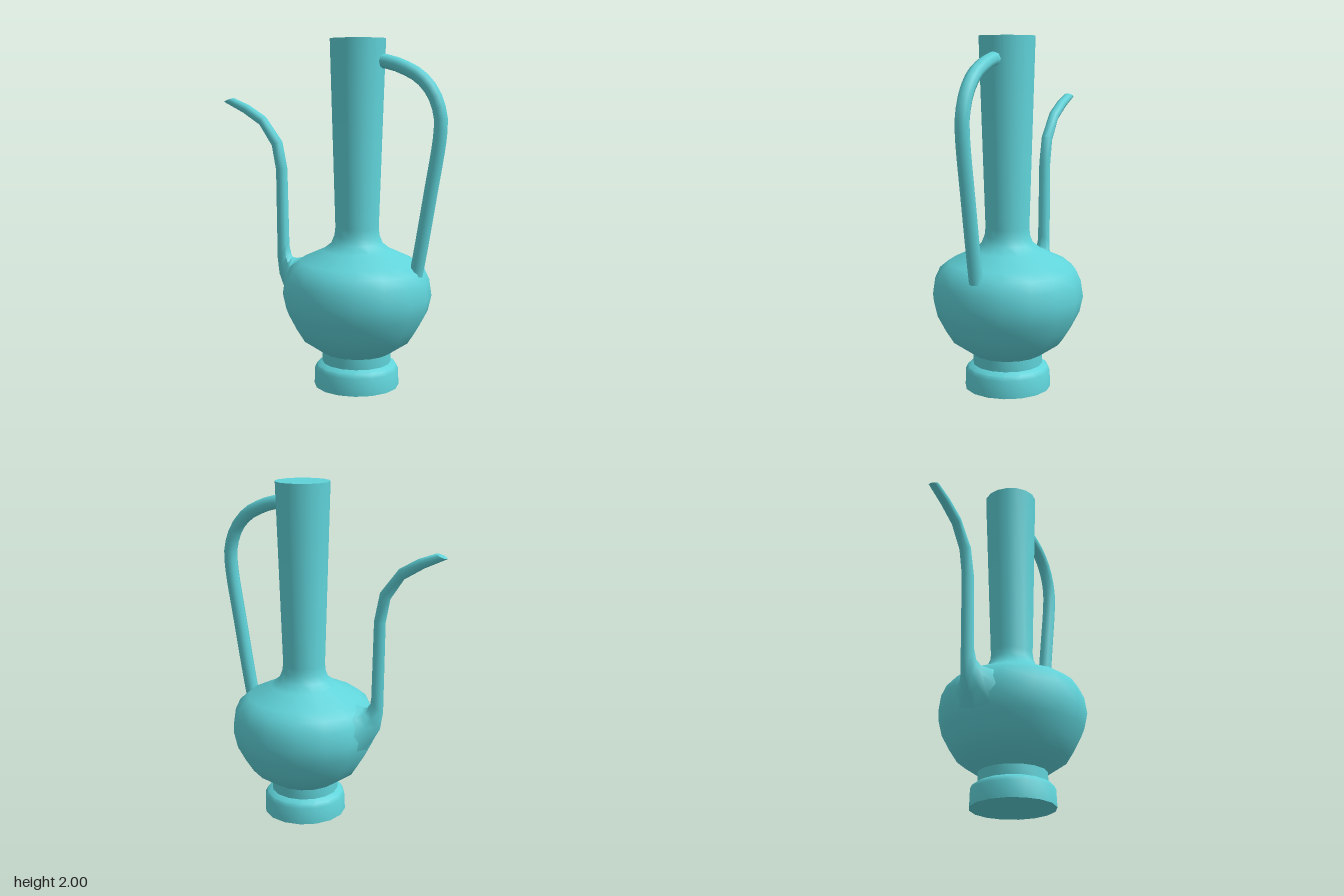
import * as THREE from 'three';
import { toCreasedNormals } from 'three/addons/utils/BufferGeometryUtils.js';

const SIDES = 16;
const AXIS_X = 0.17;
const material = new THREE.MeshStandardMaterial({ color: 0x5fd3d9 });

function addMesh(group, name, geometry, crease) {
  const mesh = new THREE.Mesh(toCreasedNormals(geometry, crease), material);
  mesh.name = name;
  group.add(mesh);
  return mesh;
}

// Turned part from [radius, height] pairs, bottom to top
function turned(profile) {
  return new THREE.LatheGeometry(profile.map(([r, y]) => new THREE.Vector2(r, y)), SIDES);
}

// Elliptical tube through sections [upperX, upperY, lowerX, lowerY, halfWidth]
function loft(sections, sides) {
  const positions = [], index = [];
  sections.forEach(([ux, uy, lx, ly, w], i) => {
    for (let j = 0; j < sides; j++) {
      const a = (j / sides) * Math.PI * 2, c = Math.cos(a);
      positions.push(
        (ux + lx) / 2 + ((ux - lx) / 2) * c,
        (uy + ly) / 2 + ((uy - ly) / 2) * c,
        w * Math.sin(a));
      if (i === sections.length - 1) continue;
      const p = i * sides + j, q = i * sides + (j + 1) % sides;
      index.push(p, p + sides, q, p + sides, q + sides, q);
    }
  });
  const geometry = new THREE.BufferGeometry();
  geometry.setAttribute('position', new THREE.Float32BufferAttribute(positions, 3));
  geometry.setIndex(index);
  return geometry;
}

export function createModel() {
  const group = new THREE.Group();
  group.name = 'ewer';

  // Foot, round belly and tall neck in one turned profile, closed at both ends
  addMesh(group, 'vessel', turned([
    [0, 0], [0.247, 0], [0.243, 0.1], [0.232, 0.122], [0.2, 0.14], [0.2, 0.2],
    [0.318, 0.28], [0.365, 0.355], [0.412, 0.445], [0.432, 0.535], [0.418, 0.63],
    [0.388, 0.695], [0.335, 0.738], [0.2, 0.8], [0.148, 0.84], [0.13, 0.885],
    [0.125, 0.93], [0.158, 2], [0, 2],
  ]), 0.65).position.x = AXIS_X;

  // Spout: flared root, upright stem, curved slanted tip closed by a last point
  addMesh(group, 'spout', loft([
    [-0.17, 0.73, -0.17, 0.32, 0.19],
    [-0.222, 0.717, -0.24, 0.45, 0.13],
    [-0.25, 0.722, -0.29, 0.53, 0.075],
    [-0.267, 0.745, -0.33, 0.6, 0.05],
    [-0.275, 0.8, -0.348, 0.7, 0.038],
    [-0.285, 1.25, -0.355, 1.24, 0.035],
    [-0.318, 1.41, -0.382, 1.38, 0.034],
    [-0.43, 1.555, -0.462, 1.5, 0.032],
    [-0.54, 1.62, -0.58, 1.573, 0.03],
    [-0.645, 1.66, -0.71, 1.635, 0.027],
    [-0.678, 1.648, -0.678, 1.648, 0],
  ], 8), 0.9);

  // Handle: from the upper neck, over the shoulder bend and down into the belly
  const path = new THREE.CatmullRomCurve3([
    [0.29, 1.876], [0.36, 1.868], [0.44, 1.842], [0.54, 1.79], [0.62, 1.7], [0.663, 1.58],
    [0.664, 1.48], [0.61, 1.13], [0.55, 0.77], [0.533, 0.68],
  ].map(([x, y]) => new THREE.Vector3(x, y, 0)));
  addMesh(group, 'handle', new THREE.TubeGeometry(path, 24, 0.04, 8, false), 0.9);

  return group;
}
